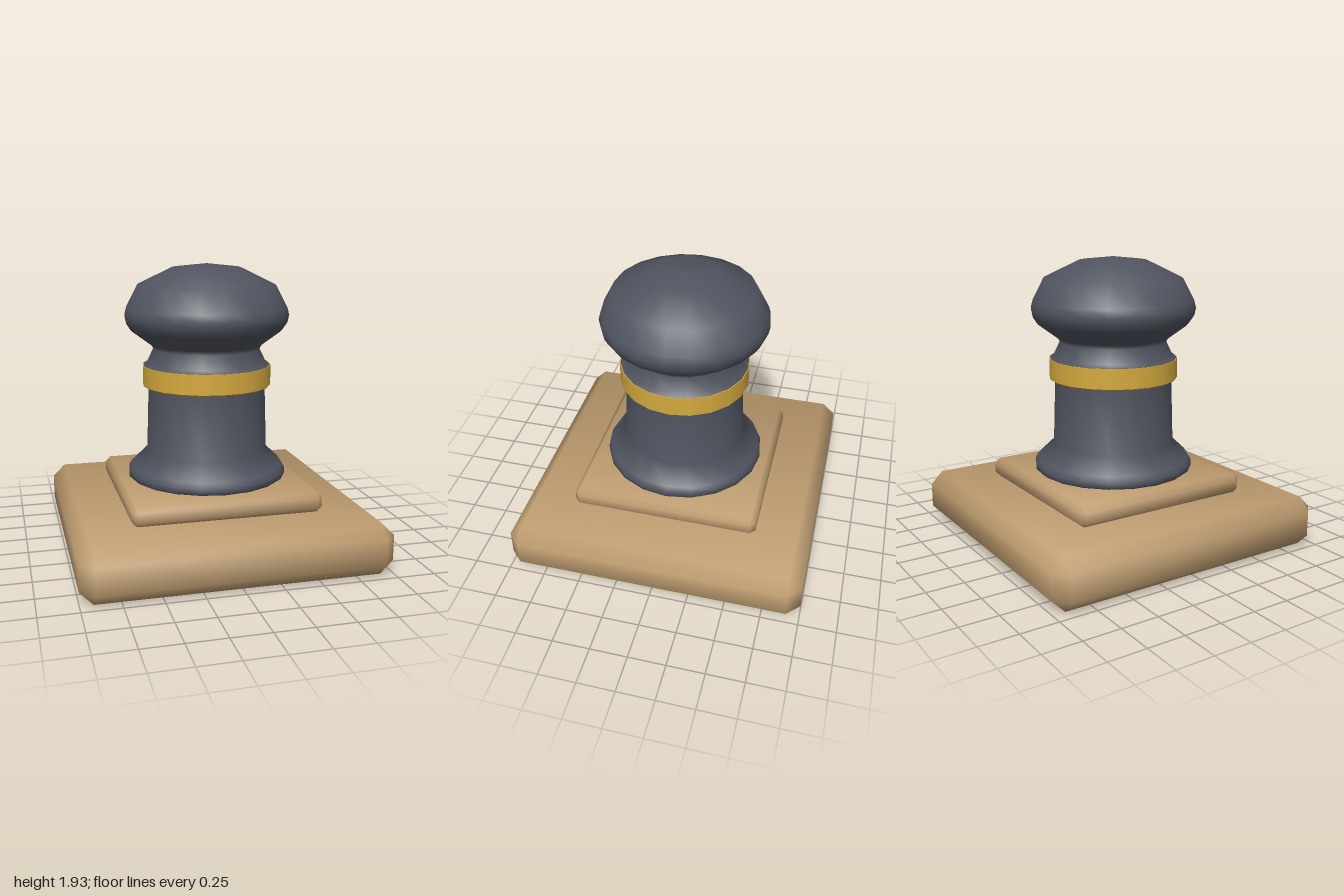
import * as THREE from 'three';
import { ConvexGeometry } from 'three/addons/geometries/ConvexGeometry.js';

const SIDES = 20;

// Box with one flat bevel on every edge and soft normals across it
function bevelledBox(halfWidth, halfHeight, bevel) {
  const half = [halfWidth, halfHeight, halfWidth];
  const points = [];
  for (const sx of [-1, 1]) for (const sy of [-1, 1]) for (const sz of [-1, 1]) {
    const signs = [sx, sy, sz];
    for (let axis = 0; axis < 3; axis++) {
      // each corner has one point on each of its three faces
      points.push(new THREE.Vector3(
        ...signs.map((s, i) => s * (half[i] - (i === axis ? 0 : bevel)))));
    }
  }
  const geometry = new ConvexGeometry(points);
  const position = geometry.attributes.position;
  const normal = geometry.attributes.normal;
  for (let v = 0; v < position.count; v++) {
    const n = half.map((h, i) => {
      const p = position.getComponent(v, i);
      return Math.sign(p) * (Math.abs(p) > h - bevel / 2 ? 0.87 : 0.34);
    });
    normal.setXYZ(v, ...new THREE.Vector3(...n).normalize().toArray());
  }
  return geometry;
}

export function createModel() {
  const group = new THREE.Group();
  const wood = new THREE.MeshStandardMaterial({ name: 'wood', color: 0xbf9d70 });
  const slate = new THREE.MeshStandardMaterial({ name: 'slate', color: 0x50545f });
  const gold = new THREE.MeshStandardMaterial({ name: 'gold', color: 0xd4a93e });

  function add(name, geometry, material, y = 0) {
    const mesh = new THREE.Mesh(geometry, material);
    mesh.name = name;
    mesh.position.y = y;
    group.add(mesh);
  }

  // Stepped wooden base
  add('base', bevelledBox(1, 0.169, 0.085), wood, 0.169);
  add('plinth', bevelledBox(0.63, 0.067, 0.034), wood, 0.403);

  // Turned handle: flared foot, column, neck and domed knob
  const profile = [
    [0, 0.472], [0.525, 0.475], [0.545, 0.49], [0.545, 0.525], [0.525, 0.56],
    [0.415, 0.665], [0.4, 1.1], [0.405, 1.2], [0.432, 1.245], [0.432, 1.253],
    [0.405, 1.27], [0.362, 1.36], [0.38, 1.39], [0.515, 1.49], [0.548, 1.54],
    [0.558, 1.59], [0.545, 1.64], [0.467, 1.79], [0.23, 1.905], [0, 1.93],
  ].map(([x, y]) => new THREE.Vector2(x, y));
  add('handle', new THREE.LatheGeometry(profile, SIDES), slate);

  // Metal collar with a small bevel below
  add('collar', new THREE.CylinderGeometry(0.438, 0.438, 0.135, SIDES), gold, 1.1825);
  add('collarLowerEdge', new THREE.CylinderGeometry(0.438, 0.425, 0.01, SIDES), gold, 1.11);

  return group;
}
